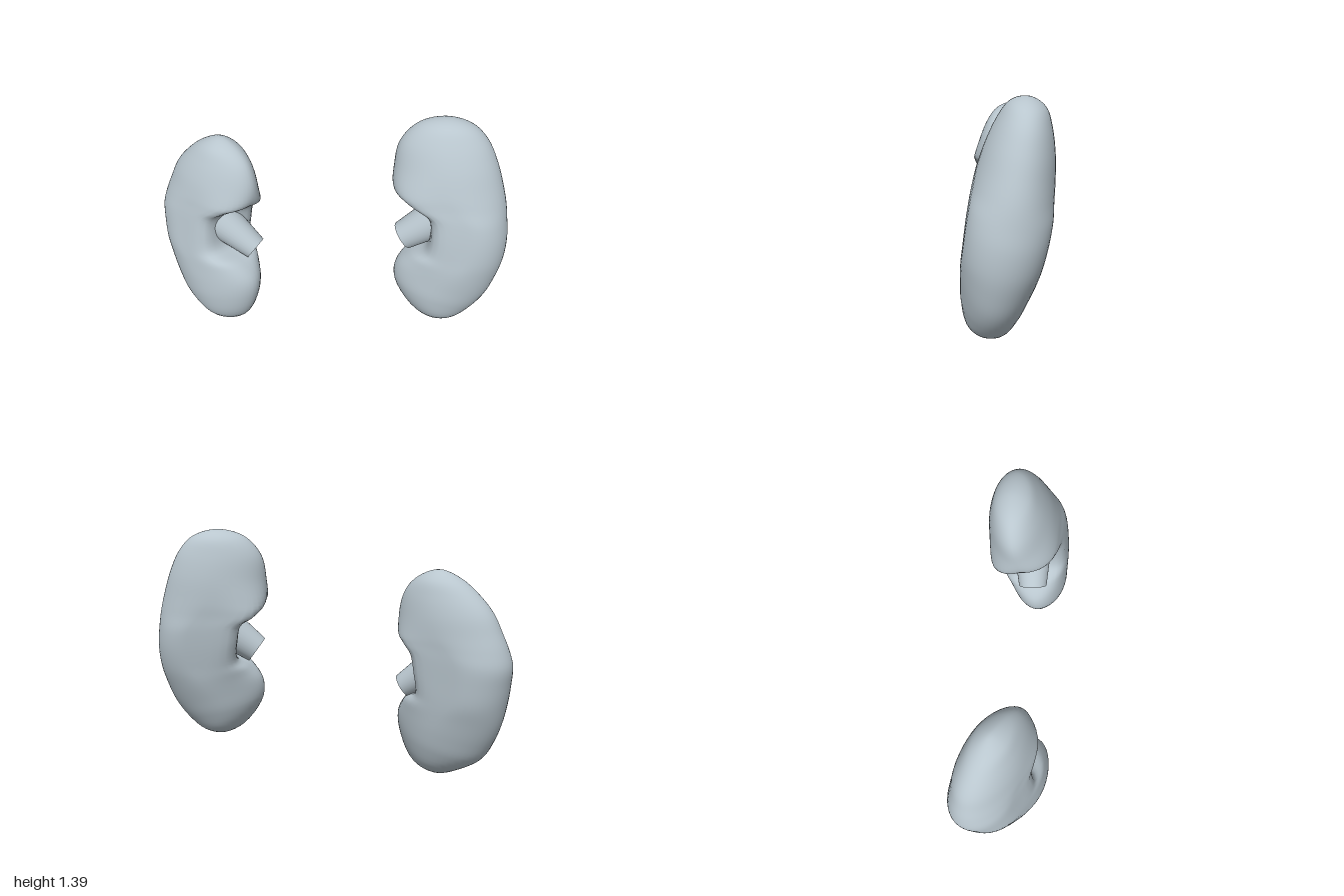
import * as THREE from 'three';
import { mergeVertices } from 'three/addons/utils/BufferGeometryUtils.js';

const SUB = 5;    // rings between two given sections
const SIDES = 48; // points around each ring

// Bean body: sections run from the top pole to the bottom pole.
// Each row is [outerX, outerY, innerX, innerY, halfThickness].
// The body lies about the plane z = plane.z + plane.dx * (x - plane.x) + plane.dy * y.
// lip: how far the rear rim of the notch reaches inward, relative to the section width.
function beanGeometry(top, rows, bottom, plane, lip) {
  const outline = [
    new THREE.Vector3(top[0], top[1], 0),
    ...rows.map(r => new THREE.Vector3(r[0], r[1], r[4])),
    new THREE.Vector3(bottom[0], bottom[1], 0),
    ...rows.map(r => new THREE.Vector3(r[2], r[3], -r[4])).reverse(),
  ];
  const curve = new THREE.CatmullRomCurve3(outline, true, 'centripetal');
  const onPlane = p => new THREE.Vector3(p.x, p.y, plane.z + plane.dx * (p.x - plane.x) + plane.dy * p.y);
  const normal = new THREE.Vector3(-plane.dx, -plane.dy, 1).normalize();
  const side = Math.sign(rows[0][0] - rows[0][2]); // +1 when the outer edge is towards +x
  const count = (rows.length + 1) * SUB;
  const positions = [], index = [];

  for (let i = 0; i <= count; i++) {
    const u = i / (2 * count);
    const outer = curve.getPoint(u), inner = curve.getPoint((1 - u) % 1);
    const half = i === 0 || i === count ? 0 : (outer.z - inner.z) / 2;
    const a = onPlane(outer), b = onPlane(inner);
    const centre = a.clone().add(b).multiplyScalar(0.5);
    const axis = a.sub(b).multiplyScalar(0.5 * side);
    // the inner edge is slightly pointed on the lobes and blunt around the notch
    const notch = Math.sin(Math.PI * i / count) ** 9;
    const power = 1.8 + 5 * notch;
    for (let j = 0; j < SIDES; j++) {
      const t = (j / SIDES) * Math.PI * 2;
      let c = Math.cos(t), s = Math.sin(t);
      if (c * side < 0) {
        const r = (Math.abs(c) ** power + Math.abs(s) ** power) ** (-1 / power);
        const rim = 2 * lip * notch * Math.max(0, -s);
        c *= r + rim;
        s *= r;
      }
      const p = centre.clone().addScaledVector(axis, c).addScaledVector(normal, half * s);
      positions.push(p.x, p.y, p.z);
      if (i < count) {
        const k = (j + 1) % SIDES, row = i * SIDES, next = row + SIDES;
        if (i > 0) index.push(row + j, row + k, next + j);
        if (i < count - 1) index.push(row + k, next + k, next + j);
      }
    }
  }
  let geometry = new THREE.BufferGeometry();
  geometry.setAttribute('position', new THREE.Float32BufferAttribute(positions, 3));
  geometry.setIndex(index);
  geometry = mergeVertices(geometry, 1e-5);
  geometry.computeVertexNormals();
  return geometry;
}

// Open flared duct running from inside the notch to its free end
function duct(from, to, baseRadius, endRadius, material) {
  const a = new THREE.Vector3(...from), b = new THREE.Vector3(...to);
  const dir = b.clone().sub(a);
  const mesh = new THREE.Mesh(
    new THREE.CylinderGeometry(endRadius, baseRadius, dir.length(), 32, 1, true), material);
  mesh.position.copy(a).add(b).multiplyScalar(0.5);
  mesh.quaternion.setFromUnitVectors(new THREE.Vector3(0, 1, 0), dir.normalize());
  return mesh;
}

export function createModel() {
  const group = new THREE.Group();
  const tissue = new THREE.MeshStandardMaterial({ color: 0xb9c6ce, side: THREE.DoubleSide });
  tissue.name = 'paleGreyBlue';

  const add = (name, mesh) => { mesh.name = name; group.add(mesh); };

  // Left organ, set higher and nearly facing the front
  add('leftKidney', new THREE.Mesh(beanGeometry([0.61, 1.39], [
    [0.75, 1.355, 0.46, 1.35, 0.09],
    [0.83, 1.28, 0.375, 1.25, 0.135],
    [0.89, 1.17, 0.355, 1.12, 0.17],
    [0.935, 1.05, 0.365, 0.995, 0.19],
    [0.965, 0.95, 0.45, 0.94, 0.195],
    [0.985, 0.85, 0.56, 0.88, 0.2],
    [1.0, 0.74, 0.585, 0.78, 0.2],
    [0.995, 0.62, 0.565, 0.675, 0.195],
    [0.97, 0.51, 0.48, 0.62, 0.19],
    [0.93, 0.4, 0.415, 0.54, 0.175],
    [0.87, 0.31, 0.415, 0.43, 0.155],
    [0.79, 0.235, 0.53, 0.265, 0.105],
  ], [0.67, 0.2], { x: 0.67, z: 0.075, dx: -0.11, dy: -0.18 }, 0.4), tissue));
  add('leftDuct', duct([0.62, 0.84, -0.05], [0.44, 0.705, -0.01], 0.11, 0.08, tissue));

  // Right organ, set lower and turned inward
  add('rightKidney', new THREE.Mesh(beanGeometry([-0.6, 1.175], [
    [-0.72, 1.12, -0.48, 1.135, 0.085],
    [-0.82, 1.03, -0.41, 1.06, 0.125],
    [-0.89, 0.94, -0.38, 0.94, 0.155],
    [-0.935, 0.84, -0.4, 0.84, 0.17],
    [-0.97, 0.75, -0.475, 0.79, 0.175],
    [-0.992, 0.66, -0.55, 0.73, 0.18],
    [-0.985, 0.56, -0.57, 0.62, 0.185],
    [-0.97, 0.45, -0.55, 0.51, 0.19],
    [-0.945, 0.33, -0.44, 0.46, 0.19],
    [-0.905, 0.22, -0.375, 0.37, 0.185],
    [-0.85, 0.125, -0.375, 0.26, 0.17],
    [-0.74, 0.05, -0.45, 0.08, 0.12],
  ], [-0.6, 0], { x: -0.6, z: 0.14, dx: 0.45, dy: -0.14 }, 0.25), tissue));
  add('rightDuct', duct([-0.64, 0.67, 0.04], [-0.4, 0.51, 0.08], 0.115, 0.07, tissue));

  return group;
}
